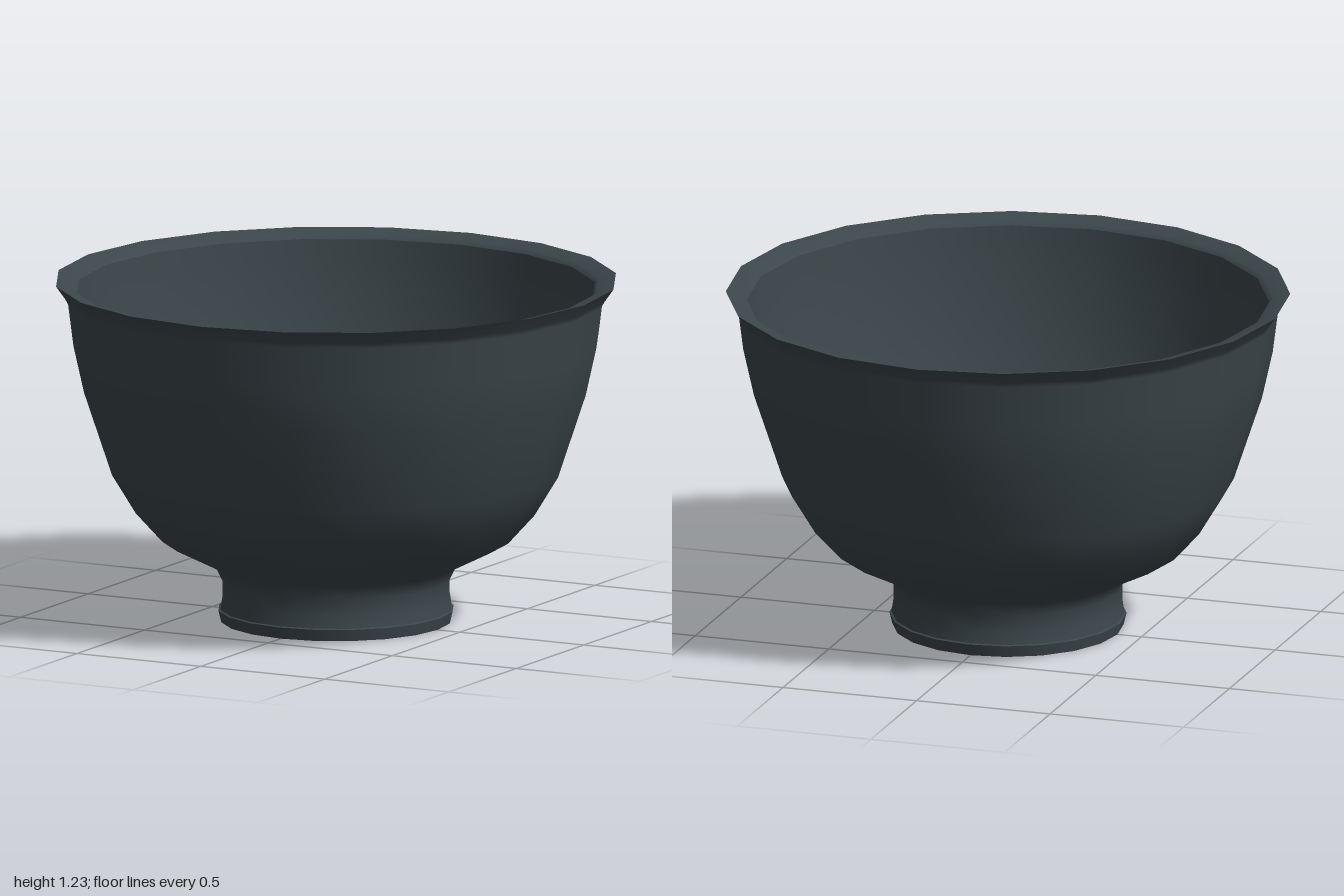
import * as THREE from 'three';

const SIDES = 20;

// Small seeded generator so the grains always fall the same way
function seeded(seed) {
  return () => {
    seed = (seed * 1664525 + 1013904223) % 4294967296;
    return seed / 4294967296;
  };
}

export function createModel() {
  const group = new THREE.Group();
  const glaze = new THREE.MeshStandardMaterial({ color: 0x3c474b });
  glaze.name = 'dark slate glaze';
  const riceWhite = new THREE.MeshStandardMaterial({ color: 0xe2e2e2 });
  riceWhite.name = 'rice white';

  // Each profile is smooth in itself; separate profiles meet in a sharp edge
  const lathe = (name, points) => {
    const profile = points.map(([r, y]) => new THREE.Vector2(r, y));
    const mesh = new THREE.Mesh(new THREE.LatheGeometry(profile, SIDES), glaze);
    mesh.name = name;
    group.add(mesh);
  };

  // Foot, from the recessed underside outwards
  lathe('footUnderside', [[0, 0.03], [0.36, 0.03]]);
  lathe('footRing', [[0.36, 0.03], [0.375, 0.005], [0.41, 0]]);
  lathe('footEdge', [[0.41, 0], [0.42, 0.042]]);
  lathe('footLedge', [[0.42, 0.042], [0.413, 0.045]]);

  // Outside wall, up to the flared lip
  lathe('outerWall', [
    [0.413, 0.045], [0.406, 0.09], [0.406, 0.15], [0.43, 0.2], [0.62, 0.295],
    [0.715, 0.4], [0.8, 0.54], [0.9, 0.84], [0.938, 1.01], [0.957, 1.16],
    [0.968, 1.18], [1, 1.225],
  ]);

  // Nearly flat lip, then the inside wall running down to the floor
  lathe('lip', [[1, 1.225], [0.94, 1.21], [0.925, 1.195]]);
  lathe('innerWall', [
    [0.925, 1.195], [0.917, 1.13], [0.9, 1], [0.863, 0.84], [0.82, 0.69], [0.765, 0.56],
    [0.67, 0.425], [0.56, 0.33], [0.44, 0.255], [0.3, 0.19], [0.15, 0.155], [0, 0.145],
  ]);

  // Ball of rice nestled in the hollow
  const ballRadius = 0.345;
  const rice = new THREE.Group();
  rice.name = 'rice';
  rice.position.y = 0.355;
  const ball = new THREE.Mesh(
    new THREE.SphereGeometry(ballRadius, 32, 16, 0, Math.PI * 2, 0, 2.3), riceWhite);
  ball.name = 'riceBall';
  rice.add(ball);

  // Single grains lying at varied angles over the top of the ball
  const random = seeded(7);
  const grainShape = new THREE.SphereGeometry(1, 12, 8);
  const up = new THREE.Vector3(0, 1, 0);
  const count = 78;
  for (let i = 0; i < count; i++) {
    const y = 1 - 0.7 * (i + 0.5) / count;
    const angle = i * 2.39996 + (random() - 0.5) * 0.6;
    const r = Math.sqrt(1 - y * y);
    const normal = new THREE.Vector3(r * Math.cos(angle), y, r * Math.sin(angle));
    const grain = new THREE.Mesh(grainShape, riceWhite);
    grain.name = 'riceGrain';
    grain.scale.set(0.068 + random() * 0.012, 0.035, 0.042);
    grain.position.copy(normal).multiplyScalar(ballRadius - 0.01 + random() * 0.02);
    grain.quaternion.setFromUnitVectors(up, normal);
    grain.rotateY(random() * Math.PI * 2);
    grain.rotateZ((random() - 0.5) * 0.7);
    rice.add(grain);
  }
  group.add(rice);

  return group;
}
